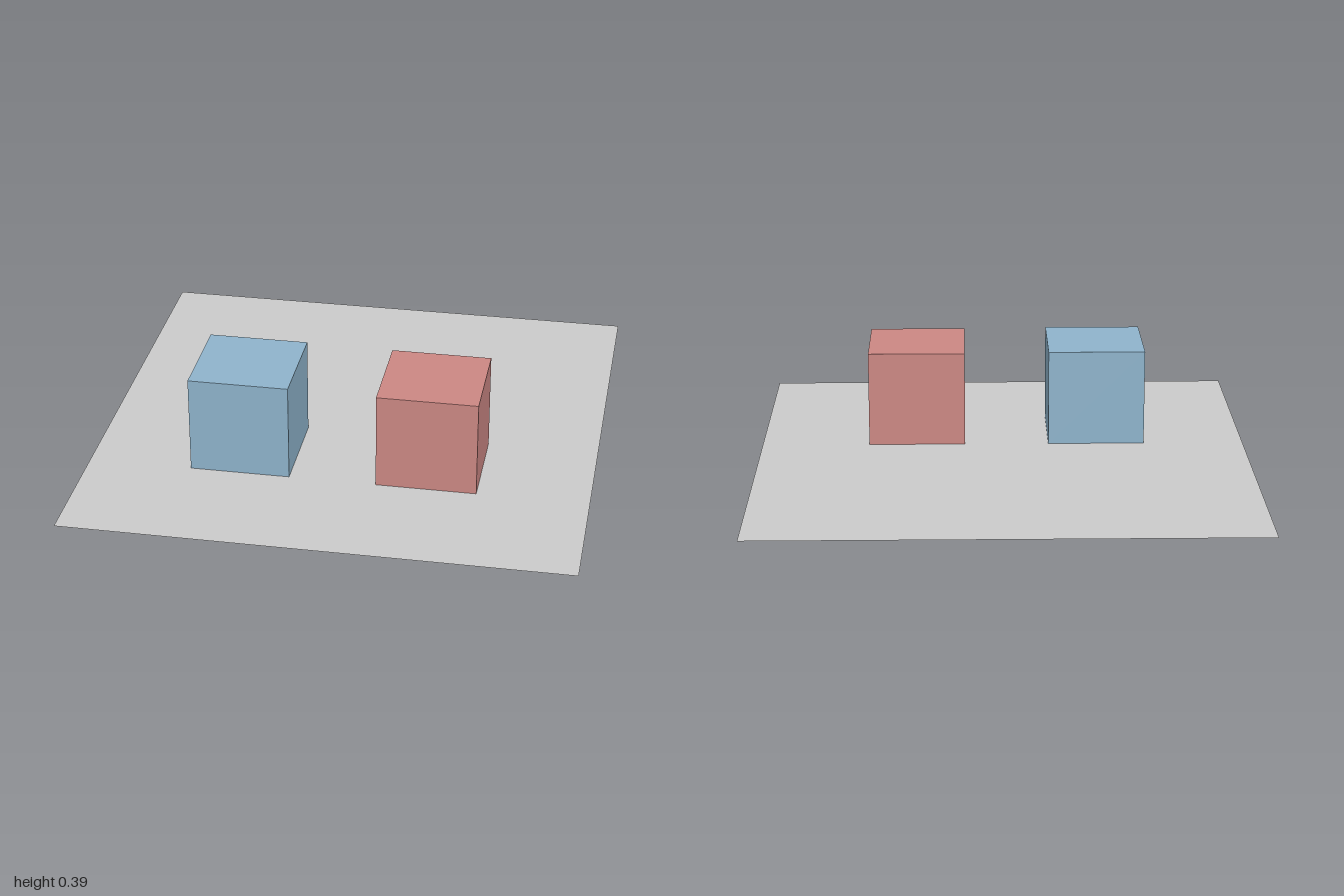
import * as THREE from 'three';

const CUBE = 0.39;

function addMesh(group, name, geometry, color, x, y, z) {
  const material = new THREE.MeshStandardMaterial({ color });
  const mesh = new THREE.Mesh(geometry, material);
  mesh.name = name;
  mesh.position.set(x, y, z);
  group.add(mesh);
  return mesh;
}

export function createModel() {
  const group = new THREE.Group();

  // Thin square floor, seen from both sides, just above the cube bottoms
  const floorGeometry = new THREE.PlaneGeometry(1.96, 2).rotateX(-Math.PI / 2);
  const floor = addMesh(group, 'floor', floorGeometry, 0xcccccc, 0, 0.007, 0);
  floor.material.side = THREE.DoubleSide;

  // Two equal cubes side by side near the front
  const cubeGeometry = new THREE.BoxGeometry(CUBE, CUBE, CUBE);
  addMesh(group, 'blueCube', cubeGeometry, 0x8fb4cc, -0.38, CUBE / 2 + 0.004, 0.306);
  addMesh(group, 'redCube', cubeGeometry, 0xcc8884, 0.35, CUBE / 2, 0.306);

  return group;
}
